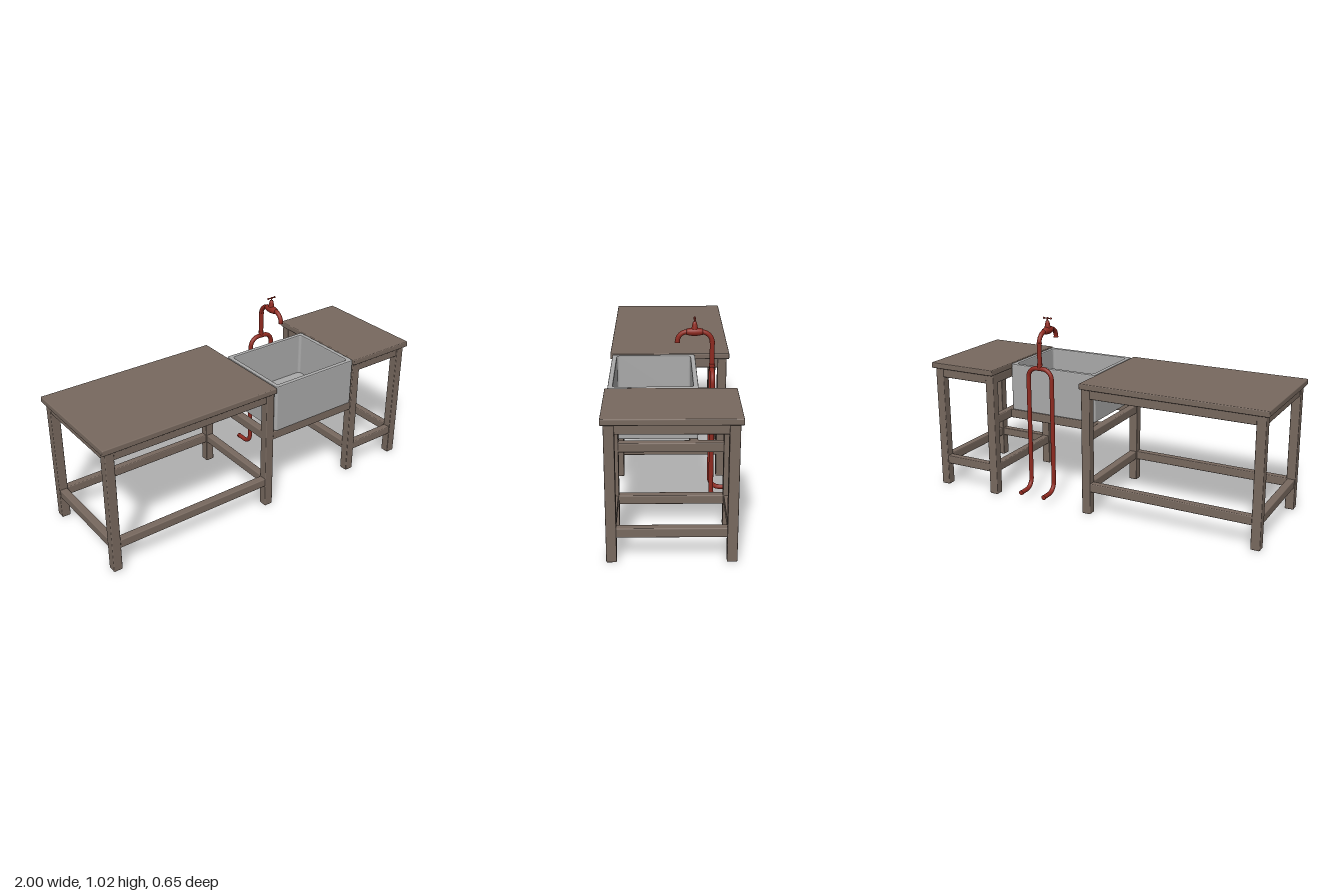
import * as THREE from 'three';
import { RoundedBoxGeometry } from 'three/addons/geometries/RoundedBoxGeometry.js';

const wood = new THREE.MeshStandardMaterial({ color: 0x78695f });
wood.name = 'brownWood';
const ceramic = new THREE.MeshStandardMaterial({ color: 0xaaaaaa });
ceramic.name = 'greyCeramic';
const copper = new THREE.MeshStandardMaterial({ color: 0x8f2a20 });
copper.name = 'redPipe';

function add(parent, name, geometry, material, x = 0, y = 0, z = 0) {
  const mesh = new THREE.Mesh(geometry, material);
  mesh.name = name;
  mesh.position.set(x, y, z);
  parent.add(mesh);
  return mesh;
}

// Softly bevelled box given by its limits on each axis
function block(parent, name, material, [x0, x1], [y0, y1], [z0, z1], bevel = 0.005) {
  const geometry = new RoundedBoxGeometry(x1 - x0, y1 - y0, z1 - z0, 2, bevel);
  return add(parent, name, geometry, material, (x0 + x1) / 2, (y0 + y1) / 2, (z0 + z1) / 2);
}

const LEG = 0.025, LEG_Z = 0.286, RAIL = 0.021;

// Table with four legs, an apron under the top and low stretchers
function table(name, topX, legX) {
  const group = new THREE.Group();
  group.name = name;
  block(group, 'tableTop', wood, topX, [0.705, 0.737], [-0.325, 0.325]);
  for (const x of legX) {
    for (const z of [-LEG_Z, LEG_Z]) {
      block(group, 'leg', wood, [x - LEG, x + LEG], [0, 0.706], [z - LEG, z + LEG]);
    }
  }
  for (const [part, y] of [['apron', [0.653, 0.702]], ['stretcher', [0.13, 0.178]]]) {
    for (const z of [-LEG_Z, LEG_Z]) {
      block(group, part, wood, [legX[0] + 0.02, legX[1] - 0.02], y, [z - RAIL, z + RAIL]);
    }
    for (const x of legX) {
      block(group, part, wood, [x - RAIL, x + RAIL], y, [-LEG_Z + 0.02, LEG_Z - 0.02]);
    }
  }
  return group;
}

// Rails that carry the sink between the two tables
function sinkSupport(xa, xb) {
  const group = new THREE.Group();
  group.name = 'sinkSupport';
  const y = [0.415, 0.464];
  for (const x of [xa, xb]) {
    block(group, 'sideRail', wood, [x - RAIL, x + RAIL], y, [-LEG_Z + 0.02, LEG_Z - 0.02]);
  }
  for (const z of [-0.115, LEG_Z]) {
    block(group, 'crossRail', wood, [xa + 0.015, xb - 0.015], y, [z - RAIL, z + RAIL]);
  }
  return group;
}

function roundedRect(path, w, d, r) {
  const x = w / 2, y = d / 2, q = Math.PI / 2;
  path.moveTo(-x + r, -y);
  path.lineTo(x - r, -y);
  path.absarc(x - r, -y + r, r, -q, 0, false);
  path.lineTo(x, y - r);
  path.absarc(x - r, y - r, r, 0, q, false);
  path.lineTo(-x + r, y);
  path.absarc(-x + r, y - r, r, q, 2 * q, false);
  path.lineTo(-x, -y + r);
  path.absarc(-x + r, -y + r, r, 2 * q, 3 * q, false);
  return path;
}

// Deep basin: bevelled walls around an opening, closed by a floor slab
function basin() {
  const group = new THREE.Group();
  group.name = 'sink';
  const bevel = 0.006, w = 0.54, d = 0.448, height = 0.27;
  const shape = roundedRect(new THREE.Shape(), w - 2 * bevel, d - 2 * bevel, 0.006);
  shape.holes.push(roundedRect(new THREE.Path(), 0.488 + 2 * bevel, 0.396 + 2 * bevel, 0.02));
  const walls = new THREE.ExtrudeGeometry(shape, {
    depth: height - 2 * bevel, bevelEnabled: true, bevelThickness: bevel,
    bevelSize: bevel, bevelSegments: 2, curveSegments: 5,
  });
  walls.rotateX(-Math.PI / 2);
  add(group, 'sinkWalls', walls, ceramic, 0.312, 0.465 + bevel, 0.088);
  block(group, 'sinkFloor', ceramic, [0.05, 0.574], [0.465, 0.492], [-0.128, 0.304], 0.003);
  return group;
}

// Pipe through the given corners, each rounded to a quarter-circle bend
function pipe(parent, name, corners, bend, radius) {
  const p = corners.map((c) => new THREE.Vector3(...c));
  const path = new THREE.CurvePath();
  let from = p[0];
  for (let i = 1; i < p.length - 1; i++) {
    const back = p[i - 1].clone().sub(p[i]).normalize();
    const on = p[i + 1].clone().sub(p[i]).normalize();
    const a = p[i].clone().addScaledVector(back, bend);
    const b = p[i].clone().addScaledVector(on, bend);
    path.add(new THREE.LineCurve3(from, a));
    path.add(new THREE.CubicBezierCurve3(a, a.clone().addScaledVector(back, -0.552 * bend),
      b.clone().addScaledVector(on, -0.552 * bend), b));
    from = b;
  }
  path.add(new THREE.LineCurve3(from, p[p.length - 1]));
  const segments = Math.ceil(path.getLength() / 0.009);
  return add(parent, name, new THREE.TubeGeometry(path, segments, radius, 16), copper);
}

function collar(parent, radius, length, x, y, z, alongZ = false) {
  const mesh = add(parent, 'collar', new THREE.CylinderGeometry(radius, radius, length, 20), copper, x, y, z);
  if (alongZ) mesh.rotation.x = Math.PI / 2;
}

function lathe(points) {
  return new THREE.LatheGeometry(points.map(([r, y]) => new THREE.Vector2(r, y)), 24);
}

// Standing tap fed by two pipes joined in an arch
function tap() {
  const group = new THREE.Group();
  group.name = 'tap';
  const x = 0.342, half = 0.074, z = -0.212, back = -0.32, low = 0.048, arch = 0.753;
  const valveZ = -0.122, valveY = 0.95;
  pipe(group, 'supplyPipes', [
    [x - half, low, back], [x - half, low, z], [x - half, arch, z],
    [x + half, arch, z], [x + half, low, z], [x + half, low, back],
  ], 0.055, 0.0125);
  for (const side of [-1, 1]) collar(group, 0.0135, 0.01, x + side * half, low, back, true);

  pipe(group, 'riser', [[x, arch, z], [x, valveY, z], [x, valveY, valveZ]], 0.058, 0.0125);
  collar(group, 0.0145, 0.012, x, 0.775, z);
  collar(group, 0.0145, 0.008, x, 0.895, z);
  pipe(group, 'spout', [[x, valveY, valveZ], [x, valveY, -0.035], [x, 0.896, -0.035]], 0.05, 0.0125);
  collar(group, 0.0135, 0.006, x, 0.897, -0.035);

  // Valve body swelling around the horizontal pipe
  const body = lathe([[0, -0.042], [0.015, -0.042], [0.017, -0.034], [0.02, -0.018],
    [0.0215, 0], [0.02, 0.018], [0.017, 0.034], [0.015, 0.042], [0, 0.042]]);
  add(group, 'valveBody', body, copper, x, valveY, valveZ).rotation.x = Math.PI / 2;
  const bonnet = lathe([[0.018, 0], [0.016, 0.02], [0.012, 0.042], [0.009, 0.052],
    [0.004, 0.054], [0.004, 0.066], [0, 0.066]]);
  add(group, 'valveBonnet', bonnet, copper, x, valveY, valveZ);

  // Handle bar with knobs
  const bar = add(group, 'handleBar', new THREE.CylinderGeometry(0.0035, 0.0035, 0.044, 10), copper, x, 1.017, valveZ);
  bar.rotation.z = Math.PI / 2;
  for (const [dx, r] of [[-0.022, 0.006], [0, 0.006], [0.022, 0.006]]) {
    add(group, 'handleKnob', new THREE.SphereGeometry(r, 14, 10), copper, x + dx, 1.017, valveZ);
  }
  return group;
}

export function createModel() {
  const model = new THREE.Group();
  model.name = 'sinkWorkbench';
  model.add(
    table('largeTable', [-1, 0.036], [-0.957, 0.005]),
    table('smallTable', [0.584, 0.996], [0.612, 0.953]),
    sinkSupport(0.005, 0.612),
    basin(),
    tap(),
  );
  return model;
}
